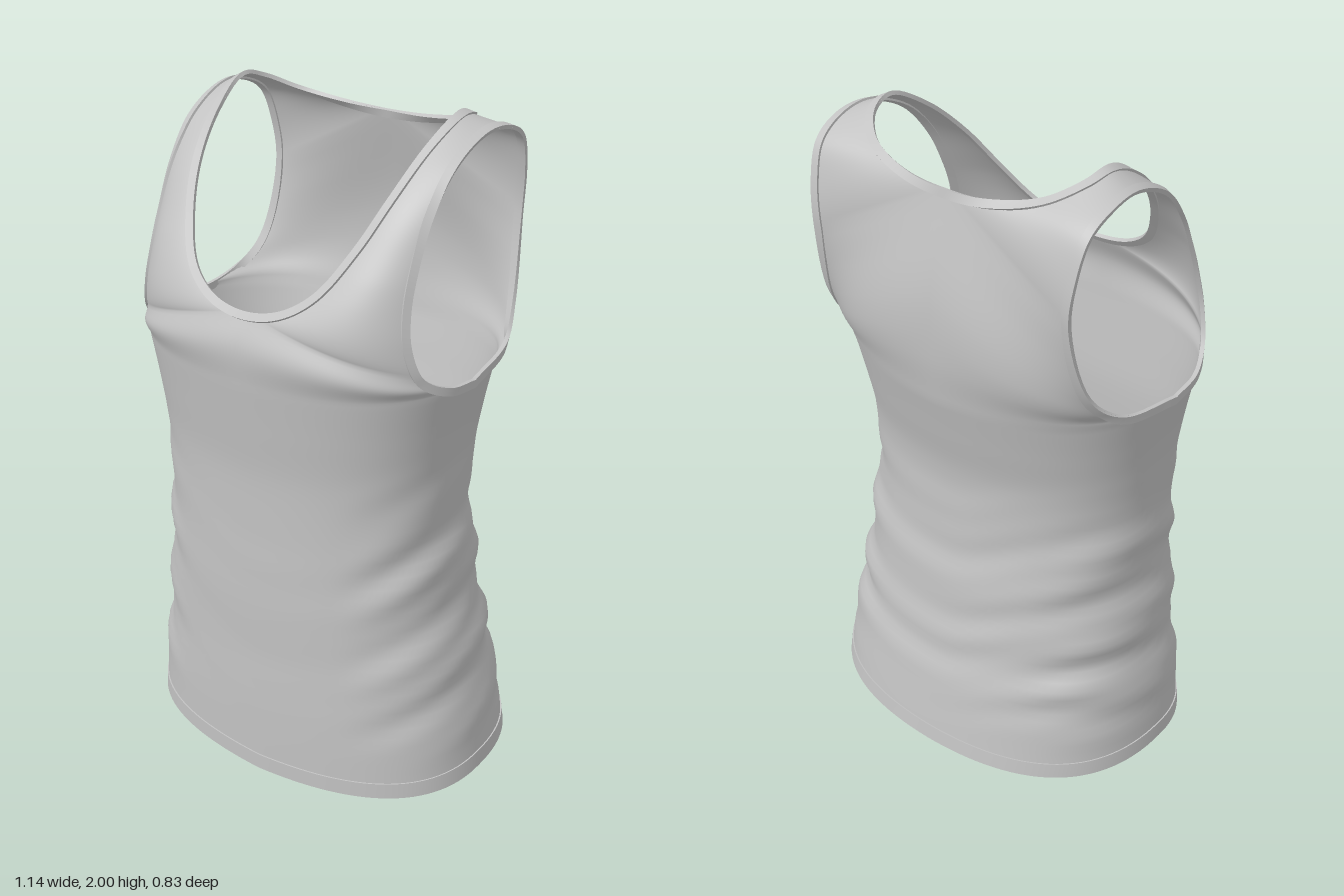
import * as THREE from 'three';
import { mergeGeometries, mergeVertices, toCreasedNormals } from 'three/addons/utils/BufferGeometryUtils.js';

const V = (x, y, z) => new THREE.Vector3(x, y, z);
const mirror = (p) => V(-p.x, p.y, p.z);
const { smoothstep: smooth, lerp, clamp } = THREE.MathUtils;
const SUB = 7;     // rows between stations
const COLS = 28;   // columns from inner to outer edge

// Smooth samples through points, SUB per segment
function spline(points) {
  return new THREE.CatmullRomCurve3(points).getPoints((points.length - 1) * SUB);
}

// Curved row from inner edge to outer edge
function row(inner, ctrl, outer) {
  return new THREE.QuadraticBezierCurve3(inner, ctrl, outer).getPoints(COLS);
}

// Surface through rows of points
function loft(rows) {
  const n = rows[0].length, index = [];
  for (let i = 0; i < rows.length - 1; i++) {
    for (let j = 0; j < n - 1; j++) {
      const a = i * n + j, b = a + 1, c = a + n, d = c + 1;
      index.push(a, b, d, a, d, c);
    }
  }
  const geo = new THREE.BufferGeometry().setFromPoints(rows.flat());
  geo.setIndex(index);
  return geo;
}

// The garment leans slightly to its right above the hem
function lean(geo) {
  const p = geo.attributes.position;
  for (let i = 0; i < p.count; i++) {
    p.setX(i, p.getX(i) - 0.024 * smooth(p.getY(i), 0, 1));
  }
  return geo;
}

// Flat binding along a closed edge; dirs point from the edge into the cloth
function binding(edge, dirs, width, lift) {
  const n = edge.length;
  const rows = edge.map((p, i) => {
    const tangent = edge[(i + 1) % n].clone().sub(edge[(i + n - 1) % n]).normalize();
    const d = dirs[i].clone().addScaledVector(tangent, -dirs[i].dot(tangent)).normalize();
    const normal = tangent.clone().cross(d).normalize();
    const corner = (w, h) => p.clone().addScaledVector(d, w).addScaledVector(normal, h);
    const section = [corner(0, -lift), corner(0, lift), corner(width, lift), corner(width, -lift)];
    return [...section, section[0].clone()];
  });
  rows.push(rows[0].map((p) => p.clone()));
  return toCreasedNormals(lean(loft(rows)), 0.7);
}

// Body stations: front y, half width, front z, back z
const BODY = [
  [0, 0.565, 0.39, -0.41],
  [0.2, 0.545, 0.39, -0.38],
  [0.4, 0.51, 0.385, -0.34],
  [0.6, 0.485, 0.385, -0.315],
  [0.8, 0.47, 0.38, -0.29],
  [1.0, 0.475, 0.38, -0.29],
  [1.15, 0.495, 0.395, -0.32],
  [1.28, 0.52, 0.41, -0.35],
];
const SIDE_Z = 0.04;
const hemRise = (y) => 1 - smooth(y, 0, 1.28);

// Inner edge: centre front, neckline, centre back
const FRONT_LINE = [[0, 1.28, 0.41], [0, 1.4, 0.415], [0, 1.495, 0.375]];
const NECKLINE = [
  [0, 1.495, 0.375], [0.11, 1.515, 0.365], [0.2, 1.575, 0.33], [0.27, 1.69, 0.255], [0.315, 1.81, 0.165],
  [0.345, 1.925, 0.04], [0.36, 1.994, -0.09], [0.345, 1.975, -0.17], [0.275, 1.935, -0.24],
  [0.14, 1.907, -0.283], [0, 1.9, -0.295],
];
const BACK_LINE = [[0, 1.9, -0.295], [0, 1.62, -0.36], [0, 1.43, -0.366], [0, 1.28, -0.35]];

// Outer edge: armhole from the underarm up the front and down the back
const ARMHOLE = [
  [0.52, 1.31, 0.04], [0.512, 1.325, 0.15], [0.48, 1.37, 0.23], [0.455, 1.46, 0.255], [0.442, 1.56, 0.24],
  [0.44, 1.67, 0.2], [0.443, 1.78, 0.145], [0.45, 1.89, 0.05], [0.455, 1.95, -0.09], [0.46, 1.945, -0.2],
  [0.455, 1.9, -0.285], [0.445, 1.8, -0.325], [0.435, 1.66, -0.335], [0.46, 1.43, -0.27], [0.495, 1.345, -0.17],
  [0.52, 1.31, 0.04],
];

// Control point of a yoke row: wide rows follow the round chest, straps stay nearly flat
function yokeControl(a, b) {
  const width = b.x - a.x;
  const depth = Math.min(1, Math.abs(b.z - a.z) / 0.37);
  const wrap = smooth(width, 0.05, 0.45);
  const side = clamp((a.z + 0.1) * 4, -0.5, 1);
  const bulge = 0.052 * smooth(a.y, 1.28, 1.5) * Math.min(1, width / 0.2) * side;
  return V(lerp(a.x, b.x, 1 / (2 - Math.sqrt(depth))), lerp(a.y, b.y, 0.6), lerp(a.z, b.z, (1 - wrap) / 2) + bulge);
}

// Height of the cloth folds, strongest at the sides of the waist
function fold(x, y, z) {
  const ax = Math.sqrt(x * x + 0.015);
  const zone = smooth(y, 0.1, 0.35) * (1 - smooth(y, 0.75, 1.1));
  const place = 0.05 + 0.75 * smooth(ax, 0.27, 0.48) + 0.3 * smooth(-z, 0, 0.25);
  const phase = 27 * (y - 0.45 * ax) + 7 * z + Math.sign(x) * 0.9 * smooth(Math.abs(x), 0, 0.3);
  const wave = Math.sin(phase + 1.6 * Math.sin(6 * z + 5 * y)) + 0.4 * Math.sin(1.9 * phase + 5 * x);
  return 0.01 * zone * place * wave;
}

export function createModel() {
  const cloth = new THREE.MeshStandardMaterial({ color: 0xc2c2c2, side: THREE.DoubleSide });
  cloth.name = 'grey cloth';
  const group = new THREE.Group();
  group.name = 'tankTop';
  const add = (name, geo) => {
    const mesh = new THREE.Mesh(geo, cloth);
    mesh.name = name;
    group.add(mesh);
  };

  // Body rows, front and back quarters meeting at the side seam
  const side = spline(BODY.map(([y, w]) => V(w, y + 0.03 + 0.015 * hemRise(y), SIDE_Z)));
  const quarter = (zCol, rise) => {
    const inner = spline(BODY.map((b) => V(0, b[0] + rise * hemRise(b[0]), b[zCol])));
    return inner.map((p, i) => row(p, V(side[i].x, lerp(p.y, side[i].y, 0.6), p.z), side[i]));
  };
  const front = quarter(2, 0);
  const back = quarter(3, 0.035);

  // Yoke rows, with the neckline kept smooth across the centre
  const points = (list) => list.map((p) => V(...p));
  const neckPoints = points(NECKLINE);
  const neck = spline([mirror(neckPoints[1]), ...neckPoints, mirror(neckPoints.at(-2))]).slice(SUB, -SUB);
  const centreFront = spline(points(FRONT_LINE)).slice(0, -1);
  const inner = [...centreFront, ...neck, ...spline(points(BACK_LINE)).slice(1)];
  const outer = spline(points(ARMHOLE));
  const ctrl = inner.map((p, i) => yokeControl(p, outer[i]));
  const yoke = inner.map((p, i) => row(p, ctrl[i], outer[i]));

  // Shell: both halves welded, then folded along the normals
  const parts = [front, yoke, [...back].reverse()].flatMap((rows) => [
    loft(rows),
    loft(rows.map((r) => r.map(mirror).reverse())),
  ]);
  const shell = mergeVertices(mergeGeometries(parts), 1e-4);
  shell.computeVertexNormals();
  const p = shell.attributes.position, n = shell.attributes.normal;
  for (let i = 0; i < p.count; i++) {
    const f = fold(p.getX(i), p.getY(i), p.getZ(i));
    p.setXYZ(i, p.getX(i) + n.getX(i) * f, p.getY(i) + n.getY(i) * f, p.getZ(i) + n.getZ(i) * f);
  }
  lean(shell).computeVertexNormals();
  add('shirtBody', shell);

  // Closed loop from one half and its mirror image
  const loop = (half) => [...half, ...half.slice(1, -1).reverse().map(mirror)];

  // Neck binding
  const neckDirs = neck.map((q, i) => ctrl[centreFront.length + i].clone().sub(q));
  add('neckBinding', binding(loop(neck), loop(neckDirs), 0.024, 0.006));

  // Armhole bindings, turned straight down at the underarm
  const arm = outer.slice(0, -1);
  const armDirs = arm.map((q, i) => {
    const under = 1 - smooth(q.y, 1.31, 1.38);
    return ctrl[i].clone().sub(q).normalize().lerp(V(0, -1, 0), under);
  });
  add('leftArmBinding', binding(arm, armDirs, 0.024, 0.006));
  add('rightArmBinding', binding(arm.map(mirror), armDirs.map(mirror), 0.024, 0.006));

  // Hem
  const hemRow = (i) => [...front[i], ...[...back[i]].reverse().slice(1)];
  const hem = hemRow(0);
  const hemDirs = hemRow(2).map((q, i) => q.clone().sub(hem[i]));
  add('hem', binding(loop(hem), loop(hemDirs), 0.05, 0.004));

  return group;
}
